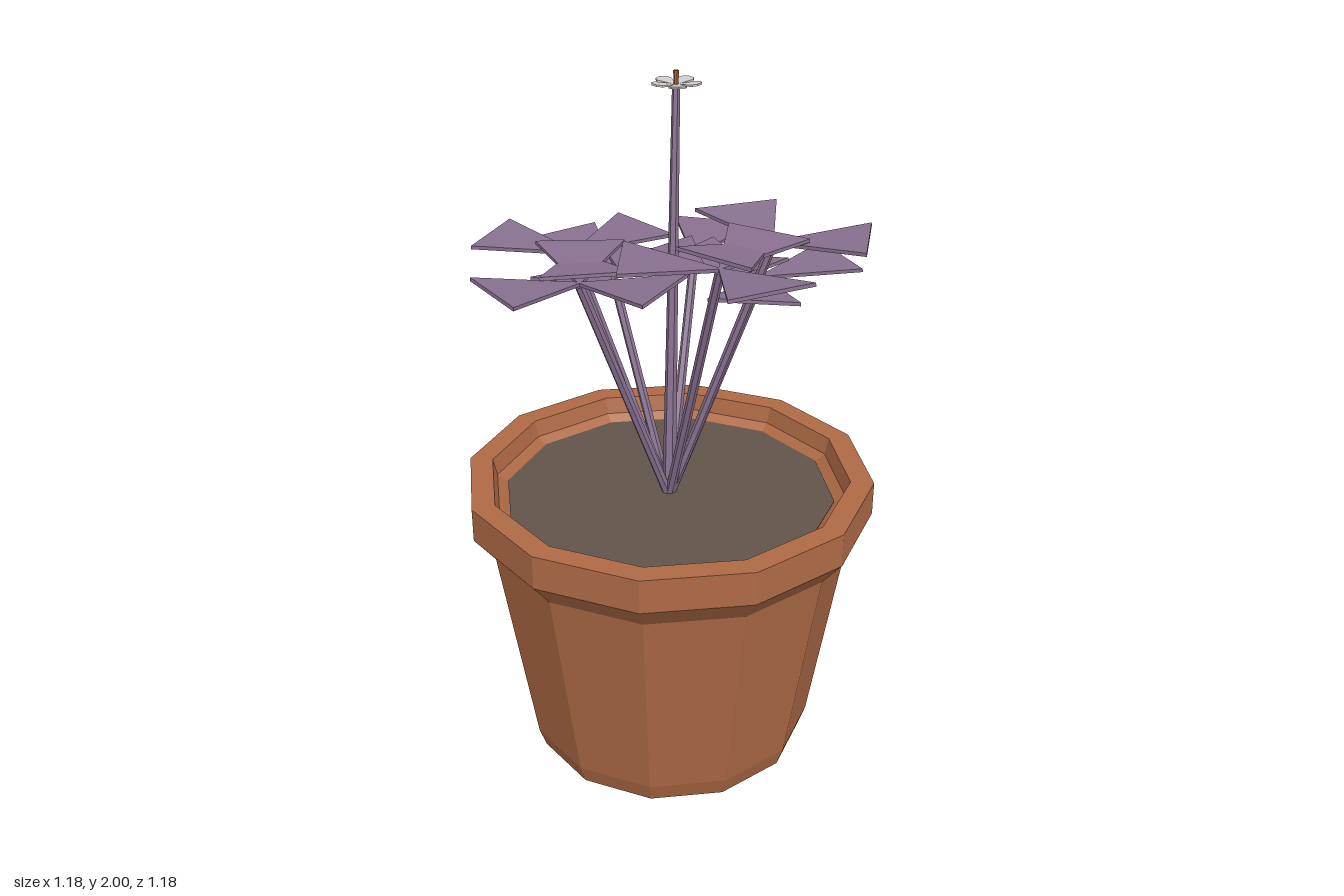
import * as THREE from 'three';

const mat = (name, color) => {
  const m = new THREE.MeshStandardMaterial({ color });
  m.name = name;
  return m;
};

// Faceted look: every face gets its own normal
const flat = (geo) => {
  const g = geo.index ? geo.toNonIndexed() : geo;
  g.computeVertexNormals();
  return g;
};

const part = (name, geo, material) => {
  const mesh = new THREE.Mesh(flat(geo), material);
  mesh.name = name;
  return mesh;
};

// Tapered straight stalk between two points
const stalk = (name, from, to, rBottom, rTop, material) => {
  const dir = to.clone().sub(from);
  const mesh = part(name, new THREE.CylinderGeometry(rTop, rBottom, dir.length(), 6), material);
  mesh.position.copy(from).addScaledVector(dir, 0.5);
  mesh.quaternion.setFromUnitVectors(new THREE.Vector3(0, 1, 0), dir.normalize());
  return mesh;
};

// Thin plate lying flat, growing along +x and tilted up at its far end
const blade = (points, thickness, tilt) => {
  const shape = new THREE.Shape(points.map(([x, y]) => new THREE.Vector2(x, y)));
  const g = new THREE.ExtrudeGeometry(shape, { depth: thickness, bevelEnabled: false });
  return g.rotateX(-Math.PI / 2).rotateZ(tilt);
};

export function createModel() {
  const terracotta = mat('terracotta', 0xae6a45);
  const soilBrown = mat('soil brown', 0x62554a);
  const purple = mat('leaf purple', 0x87708f);
  const white = mat('petal white', 0xd2cdcb);
  const orange = mat('stamen orange', 0xb5623a);

  const plant = new THREE.Group();
  plant.name = 'pottedPlant';

  // Twelve-sided pot with flared rim and inner lip
  const profile = [
    [0, 0], [0.41, 0], [0.43, 0.06], [0.532, 0.7], [0.592, 0.775],
    [0.592, 0.875], [0.525, 0.875], [0.513, 0.825], [0.475, 0.8],
  ].map(([x, y]) => new THREE.Vector2(x, y));
  plant.add(part('pot', new THREE.LatheGeometry(profile, 12), terracotta));

  // Soil disc
  const soil = part('soil', new THREE.CylinderGeometry(0.482, 0.475, 0.02, 12), soilBrown);
  soil.position.y = 0.798;
  plant.add(soil);

  // Leaves: direction seen from above in degrees (+x towards +z), height of the stem top
  const root = new THREE.Vector3(0, 0.79, 0);
  const leaves = [
    [0, 1.427], [32.7, 1.583], [85, 1.581], [170, 1.506],
    [222.2, 1.504], [255.2, 1.425], [307.7, 1.429],
  ];
  const triangle = [[0, -0.004], [0.256, -0.123], [0.256, 0.123], [0, 0.004]];
  for (const [deg, height] of leaves) {
    const a = THREE.MathUtils.degToRad(deg);
    const leaf = new THREE.Group();
    leaf.name = 'leaf';
    const top = new THREE.Vector3(0.278 * Math.cos(a), height, 0.278 * Math.sin(a));
    leaf.add(stalk('leafStem', root, top, 0.014, 0.013, purple));
    // Three leaflets around the stem top
    for (let i = 0; i < 3; i++) {
      const leaflet = part('leaflet', blade(triangle, 0.01, 0.105), purple);
      leaflet.position.copy(top);
      leaflet.rotation.y = -a - (i * Math.PI * 2) / 3;
      leaf.add(leaflet);
    }
    plant.add(leaf);
  }

  // Flower on a tall stem
  const flower = new THREE.Group();
  flower.name = 'flower';
  const head = new THREE.Vector3(0.073, 1.958, -0.127);
  flower.add(stalk('flowerStem', root, head, 0.02, 0.011, purple));
  const petalOutline = [
    [0.006, -0.005], [0.05, -0.024], [0.064, -0.018], [0.071, 0],
    [0.064, 0.018], [0.05, 0.024], [0.006, 0.005],
  ];
  for (let i = 0; i < 5; i++) {
    const petal = part('petal', blade(petalOutline, 0.005, 0.12), white);
    petal.position.copy(head);
    petal.rotation.y = -Math.PI - (i * Math.PI * 2) / 5;
    flower.add(petal);
  }
  const stamen = part('stamen', new THREE.CylinderGeometry(0.008, 0.006, 0.045, 6), orange);
  stamen.position.copy(head).y = 1.9775;
  flower.add(stamen);
  plant.add(flower);

  return plant;
}
